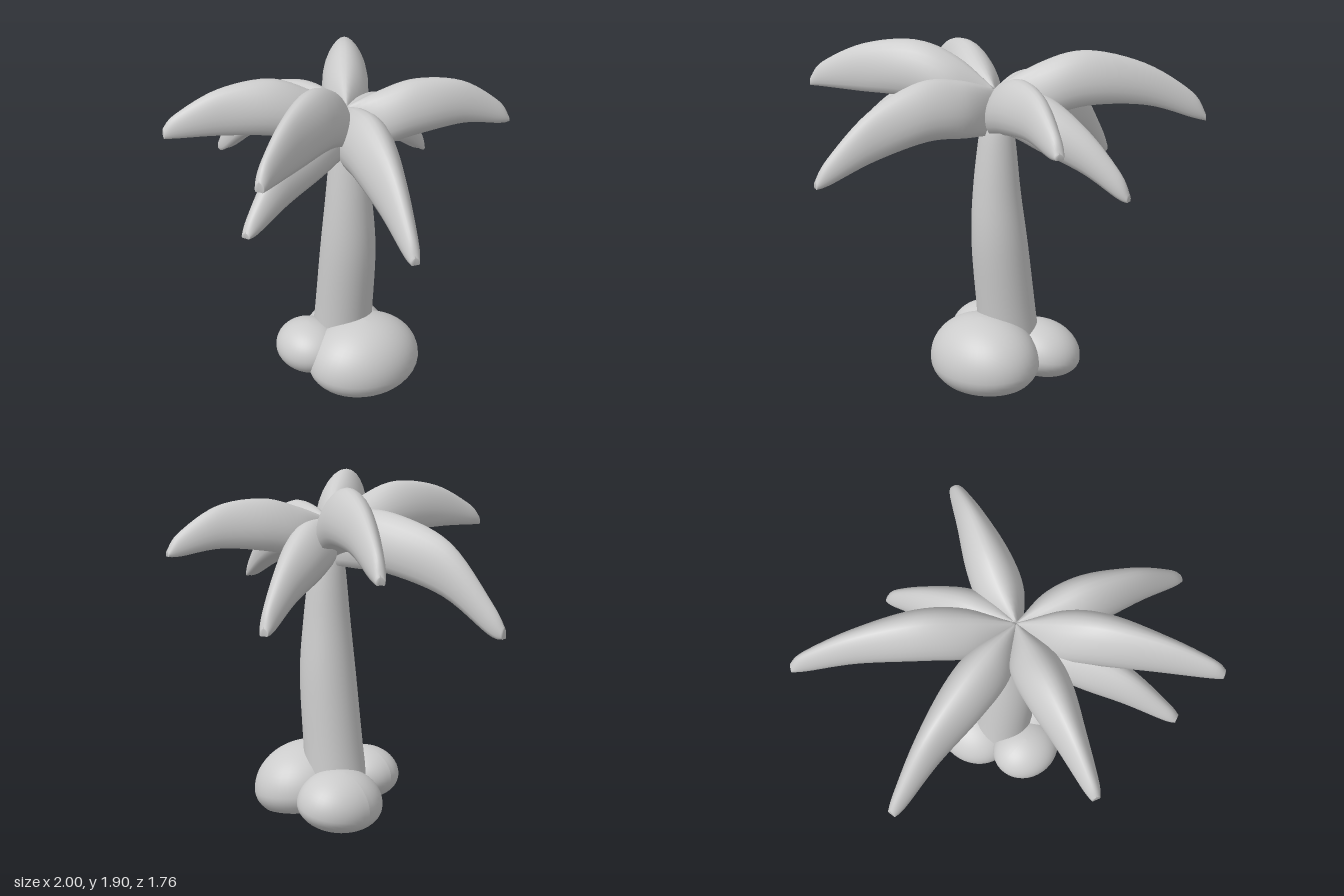
import * as THREE from 'three';

const material = new THREE.MeshStandardMaterial({ color: 0xcccccc, roughness: 0.8 });

function addMesh(parent, name, geometry) {
  const mesh = new THREE.Mesh(geometry, material);
  mesh.name = name;
  parent.add(mesh);
  return mesh;
}

// Smooth skin over rings; pointAt(t, angle) returns a Vector3, t runs 0..1
function loft(pointAt, steps, sides) {
  const positions = [], index = [];
  for (let i = 0; i <= steps; i++) {
    for (let j = 0; j < sides; j++) {
      positions.push(...pointAt(i / steps, (j / sides) * Math.PI * 2).toArray());
      if (i === steps) continue;
      const k = (j + 1) % sides;
      const a = i * sides + j, b = i * sides + k, c = a + sides, d = b + sides;
      index.push(a, b, c, b, d, c);
    }
  }
  // close both ends
  for (let j = 1; j < sides - 1; j++) {
    const e = steps * sides;
    index.push(0, j + 1, j, e, e + j, e + j + 1);
  }
  const geometry = new THREE.BufferGeometry();
  geometry.setAttribute('position', new THREE.Float32BufferAttribute(positions, 3));
  geometry.setIndex(index);
  geometry.computeVertexNormals();
  return geometry;
}

// Curve through values placed at shared stations along a frond
const stations = [0, 0.2, 0.42, 0.7, 0.93, 1];
const profile = (values) =>
  new THREE.SplineCurve(values.map((v, i) => new THREE.Vector2(stations[i], v)));

const crown = new THREE.Vector3(0.04, 0, -0.03);
const frondWidth = profile([0.05, 0.23, 0.24, 0.155, 0.085, 0.045]);

// Frond: rounded ridge above, shallow groove along the underside
function frondGeometry(tipX, tipZ, tops, bottoms) {
  const upper = profile([1.66, ...tops]);
  const lower = profile([1.41, ...bottoms]);
  const run = new THREE.Vector3(tipX, 0, tipZ).sub(crown);
  const side = new THREE.Vector3(-run.z, 0, run.x).normalize();
  return loft((t, angle) => {
    const top = upper.getPoint(t), bottom = lower.getPoint(t).y;
    const c = Math.cos(angle);
    const v = c < -0.75 ? -1.05 - 0.4 * c : c;
    const lateral = (frondWidth.getPoint(t).y / 2) * Math.sin(angle) * (1 - 0.18 * c);
    const p = crown.clone().addScaledVector(run, top.x).addScaledVector(side, lateral);
    p.y = bottom + ((top.y - bottom) * (v + 0.75)) / 1.75;
    return p;
  }, 30, 24);
}

// Rock: dome with a shallower lower half, its base optionally pressed hollow
function rockGeometry(rx, up, down, rz, hollow) {
  const geometry = new THREE.SphereGeometry(1, 40, 28);
  const pos = geometry.attributes.position;
  for (let i = 0; i < pos.count; i++) {
    let y = pos.getY(i);
    if (hollow && y < -0.6) {
      const r = Math.hypot(pos.getX(i), pos.getZ(i)) / 0.8;
      y = -0.6 + 0.5 * (1 - r * r);
    }
    pos.setY(i, y * (y > 0 ? up : down));
  }
  geometry.scale(rx, 1, rz);
  geometry.computeVertexNormals();
  return geometry;
}

export function createModel() {
  const model = new THREE.Group();
  model.name = 'palmTree';

  // Leaning, tapering trunk: x, y, z of the centre, then radius
  const sections = [
    [-0.05, 0.15, -0.06, 0.175],
    [-0.02, 0.4, -0.06, 0.165],
    [0.025, 0.8, -0.055, 0.155],
    [0.04, 1.1, -0.048, 0.13],
    [0.037, 1.42, -0.045, 0.095],
    [0.038, 1.56, -0.035, 0.06],
  ];
  const spine = new THREE.CatmullRomCurve3(
    sections.map(([x, y, z]) => new THREE.Vector3(x, y, z)), false, 'catmullrom');
  const radius = new THREE.SplineCurve(sections.map((s) => new THREE.Vector2(s[1], s[3])));
  addMesh(model, 'trunk', loft((t, angle) => {
    const r = radius.getPoint(t).y;
    return spine.getPoint(t).add(
      new THREE.Vector3(r * Math.sin(angle), 0, r * Math.cos(angle)));
  }, 30, 32));

  // Rocks around the foot: centre, [rx, up, down, rz, hollow], sideways tilt
  const rocks = [
    ['frontRock', [-0.055, 0.215, 0.155], [0.205, 0.155, 0.14, 0.185, false], 0],
    ['leftRock', [0.155, 0.155, -0.075], [0.275, 0.255, 0.18, 0.335, true], -0.08],
    ['rightRock', [-0.17, 0.136, -0.17], [0.22, 0.187, 0.132, 0.25, false], 0.2],
  ];
  for (const [name, centre, shape, tilt] of rocks) {
    const rock = addMesh(model, name, rockGeometry(...shape));
    rock.position.set(...centre);
    rock.rotation.z = tilt;
  }

  // Fronds: tip x, tip z, ridge heights and underside heights along the length
  const fronds = [
    [-0.9, -0.69, [1.79, 1.855, 1.78, 1.62, 1.5], [1.5, 1.57, 1.56, 1.48, 1.46]],
    [-0.22, -0.77, [1.67, 1.64, 1.49, 1.3, 1.19], [1.43, 1.37, 1.28, 1.17, 1.15]],
    [0.38, -0.87, [1.73, 1.78, 1.75, 1.62, 1.53], [1.46, 1.505, 1.53, 1.5, 1.5]],
    [0.99, 0.26, [1.72, 1.73, 1.6, 1.38, 1.27], [1.425, 1.43, 1.35, 1.25, 1.23]],
    [0.6, 0.86, [1.82, 1.9, 1.865, 1.755, 1.67], [1.52, 1.6, 1.61, 1.62, 1.62]],
    [0.38, 0.81, [1.69, 1.68, 1.58, 1.395, 1.31], [1.45, 1.42, 1.36, 1.29, 1.28]],
    [-0.29, 0.87, [1.77, 1.85, 1.82, 1.71, 1.64], [1.5, 1.57, 1.59, 1.59, 1.59]],
    [-1.0, 0.14, [1.72, 1.7, 1.575, 1.29, 1.17], [1.41, 1.395, 1.3, 1.13, 1.11]],
  ];
  const crownGroup = new THREE.Group();
  crownGroup.name = 'fronds';
  for (const f of fronds) addMesh(crownGroup, 'frond', frondGeometry(...f));
  model.add(crownGroup);

  return model;
}
